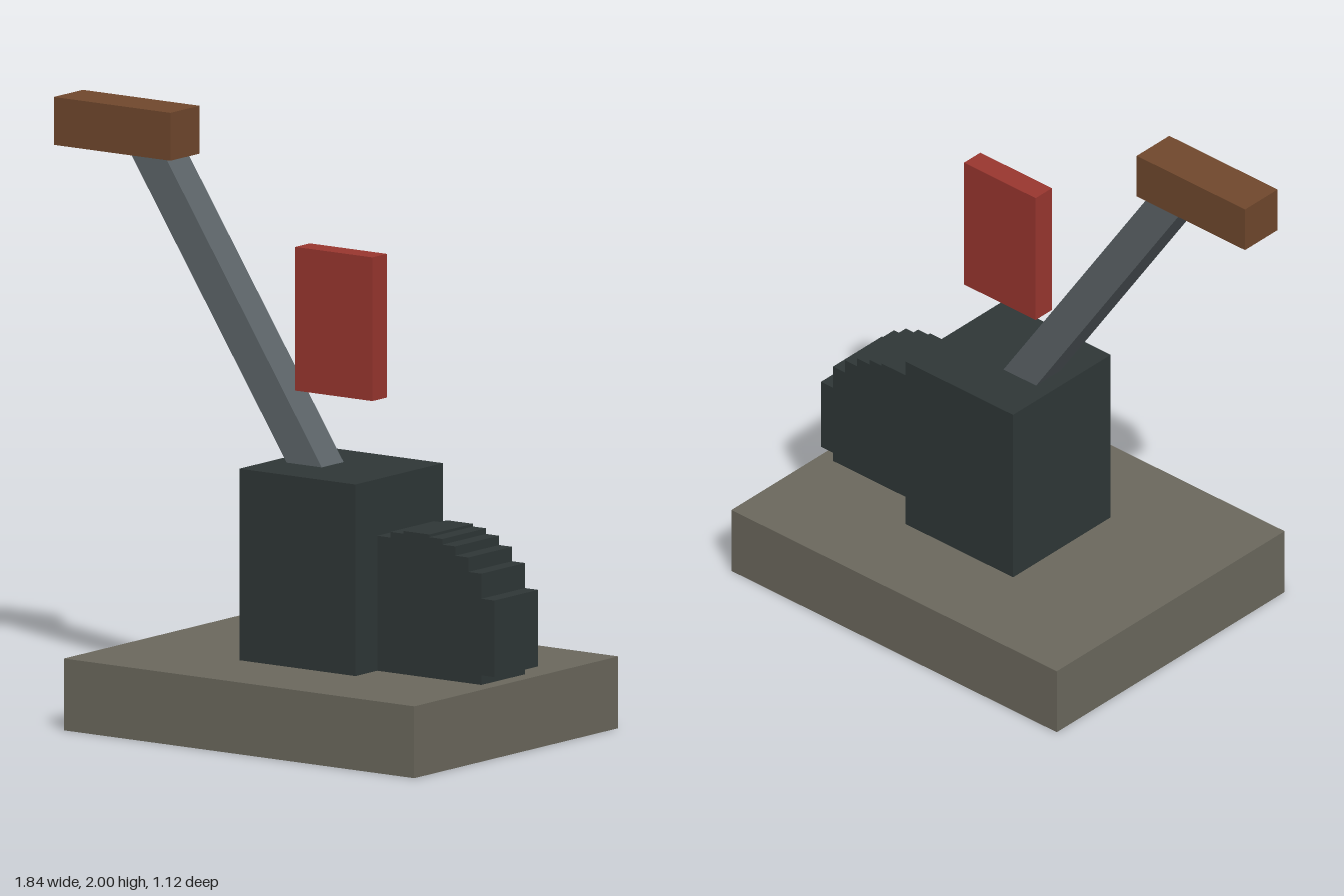
import * as THREE from 'three';

const material = (name, color) => {
  const m = new THREE.MeshStandardMaterial({ color });
  m.name = name;
  return m;
};

export function createModel() {
  const model = new THREE.Group();
  model.name = 'leverSwitch';

  const stone = material('stone', 0x6b685d);
  const iron = material('darkIron', 0x2f3737);
  const steel = material('steel', 0x5c6468);
  const wood = material('wood', 0x70482d);
  const red = material('red', 0x99362f);

  const add = (name, geometry, mat) => {
    const mesh = new THREE.Mesh(geometry, mat);
    mesh.name = name;
    model.add(mesh);
    return mesh;
  };

  // Box from its x and y limits, centred on z
  const block = (name, mat, x0, x1, y0, y1, depth) => {
    const mesh = add(name, new THREE.BoxGeometry(x1 - x0, y1 - y0, depth), mat);
    mesh.position.set((x0 + x1) / 2, (y0 + y1) / 2, 0);
    return mesh;
  };

  block('base', stone, -0.52, 0.916, 0, 0.24, 1.12);
  block('housing', iron, -0.04, 0.436, 0.24, 0.88, 0.48);
  block('handGrip', wood, -0.92, -0.442, 1.84, 2, 0.16);
  block('flag', red, 0.04, 0.356, 1.12, 1.6, 0.08);

  // Leaning lever arm, its ends sunk into the housing and grip
  const from = new THREE.Vector2(0.125, 0.83);
  const to = new THREE.Vector2(-0.573, 1.88);
  const along = to.clone().sub(from);
  const arm = add('leverArm', new THREE.BoxGeometry(0.12, along.length(), 0.12), steel);
  arm.position.set((from.x + to.x) / 2, (from.y + to.y) / 2, 0);
  arm.rotation.z = along.angle() - Math.PI / 2;

  // Stepped wheel: columns cut from a circle, sunk into the base
  const columns = 9, start = 0.436, end = 0.916;
  const step = (end - start) / columns;
  const centreX = 0.596, centreY = 0.4, radius = 0.32;
  const upper = [], lower = [];
  for (let i = 0; i < columns; i++) {
    const x0 = start + i * step, x1 = x0 + step;
    const half = Math.sqrt(radius ** 2 - (x0 + step / 2 - centreX) ** 2);
    const top = centreY + half;
    const bottom = Math.max(centreY - half, 0.2);
    upper.push(new THREE.Vector2(x0, top), new THREE.Vector2(x1, top));
    lower.push(new THREE.Vector2(x0, bottom), new THREE.Vector2(x1, bottom));
  }
  const outline = new THREE.Shape([...lower, ...upper.reverse()]);
  const wheel = new THREE.ExtrudeGeometry(outline, { depth: 0.24, bevelEnabled: false });
  wheel.translate(0, 0, -0.12);
  add('steppedWheel', wheel, iron);

  return model;
}
